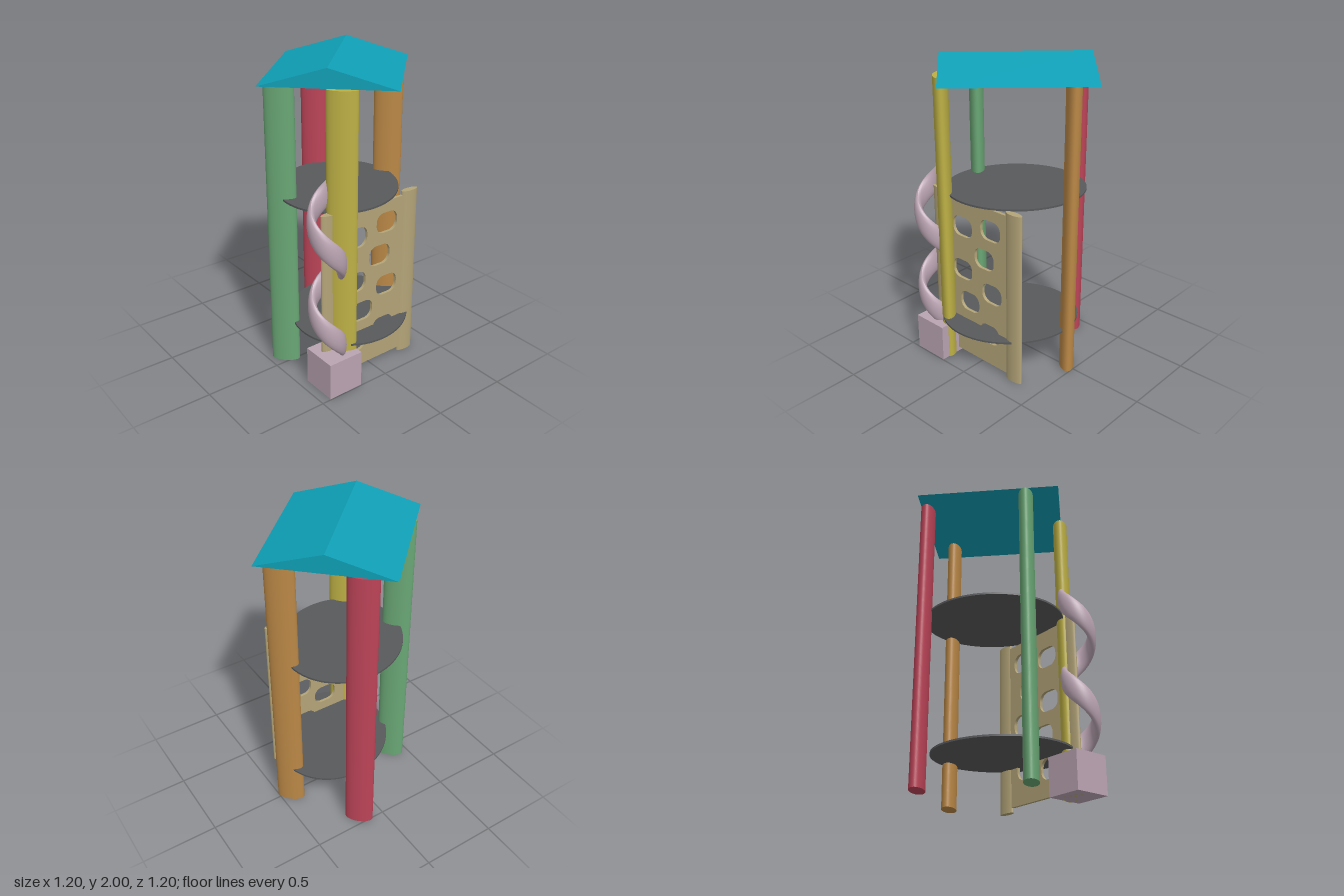
import * as THREE from 'three';

const mat = (color) => new THREE.MeshStandardMaterial({ color });
const QUARTER = Math.PI / 4;

export function createModel() {
  const model = new THREE.Group();
  const add = (name, geometry, material, x = 0, y = 0, z = 0, parent = model) => {
    const mesh = new THREE.Mesh(geometry, material);
    mesh.name = name;
    mesh.position.set(x, y, z);
    parent.add(mesh);
    return mesh;
  };
  // Upright elliptical column standing on y = 0
  const column = (rx, rz, height, segments = 48) =>
    new THREE.CylinderGeometry(1, 1, height, segments).scale(rx, 1, rz).translate(0, height / 2, 0);

  // Gable roof, ridge running diagonally
  const gable = new THREE.Shape();
  gable.moveTo(-0.396, 0);
  gable.lineTo(0.396, 0);
  gable.lineTo(0, 0.115);
  gable.closePath();
  const roofGeometry = new THREE.ExtrudeGeometry(gable, { depth: 0.905, bevelEnabled: false });
  roofGeometry.translate(0, 0, -0.4525).rotateY(QUARTER);
  add('roof', roofGeometry, mat(0x0f9fb6), 0, 1.885, 0);

  // Four flattened posts
  const postGeometry = column(0.0915, 0.046, 1.885).rotateY(QUARTER);
  [
    ['redPost', -0.44, -0.15, 0xbc4458],
    ['greenPost', -0.05, 0.39, 0x69a674],
    ['yellowPost', 0.373, 0.257, 0xbdb045],
    ['orangePost', -0.02, -0.427, 0xbb8846],
  ].forEach(([name, x, z, color]) => add(name, postGeometry, mat(color), x, 0, z));

  // Two thin oval decks
  const deckGeometry = column(0.383, 0.444, 0.012, 64).rotateY(QUARTER);
  const deckMaterial = mat(0x58595b);
  add('upperDeck', deckGeometry, deckMaterial, 0, 1.14, 0);
  add('lowerDeck', deckGeometry, deckMaterial, 0.088, 0.276, -0.03);

  // Climbing wall: board with rounded holes between two oval rails
  const wall = new THREE.Group();
  wall.name = 'climbingWall';
  wall.position.x = 0.342;
  model.add(wall);
  const wallMaterial = mat(0xb3a478);
  const board = new THREE.Shape();
  board.moveTo(-0.3, 0.03);
  board.lineTo(0.3, 0.03);
  board.lineTo(0.3, 1.13);
  board.lineTo(-0.3, 1.13);
  board.closePath();
  const roundedHole = (cx, cy, w = 0.0825, h = 0.067, r = 0.055) => {
    const p = new THREE.Path();
    p.absarc(cx + w - r, cy + h - r, r, Math.PI / 2, 0, true);
    p.absarc(cx + w - r, cy - h + r, r, 0, -Math.PI / 2, true);
    p.absarc(cx - w + r, cy - h + r, r, -Math.PI / 2, -Math.PI, true);
    p.absarc(cx - w + r, cy + h - r, r, Math.PI, Math.PI / 2, true);
    p.closePath();
    return p;
  };
  // Hole centres as [z, y]
  [
    [0.128, 0.943], [-0.111, 0.987], [-0.056, 0.777], [0.135, 0.642],
    [-0.118, 0.552], [0.077, 0.424], [-0.095, 0.254], [0.13, 0.209],
  ].forEach(([z, y]) => board.holes.push(roundedHole(-z, y)));
  const boardGeometry = new THREE.ExtrudeGeometry(board, { depth: 0.02, bevelEnabled: false, curveSegments: 8 });
  boardGeometry.translate(0, 0, -0.01).rotateY(Math.PI / 2);
  add('board', boardGeometry, wallMaterial, 0, 0, 0, wall);
  for (const z of [0.325, -0.297]) {
    add('rail', column(0.023, 0.062, 1.155, 32), wallMaterial, 0, 0, z, wall);
  }

  // Spiral slide: tall oval section swept two turns around a vertical axis
  const pink = mat(0xbaa4b2);
  const slideGeometry = new THREE.CylinderGeometry(1, 1, 1, 20, 120, true);
  const p = slideGeometry.attributes.position;
  for (let i = 0; i < p.count; i++) {
    const t = 0.5 - p.getY(i);
    const angle = -Math.PI / 2 + t * Math.PI * 4;
    const radius = 0.09 + 0.027 * p.getX(i);
    p.setXYZ(i, -Math.cos(angle) * radius, 1.35 - 1.1 * t + 0.088 * p.getZ(i), Math.sin(angle) * radius);
  }
  slideGeometry.computeVertexNormals();
  pink.side = THREE.DoubleSide;
  add('spiralSlide', slideGeometry, pink, 0.378, 0, 0.37);

  // Block under the slide
  add('slideBase', new THREE.BoxGeometry(0.24, 0.243, 0.24), mat(0xbaa4b2), 0.375, 0.1215, 0.317);

  return model;
}
